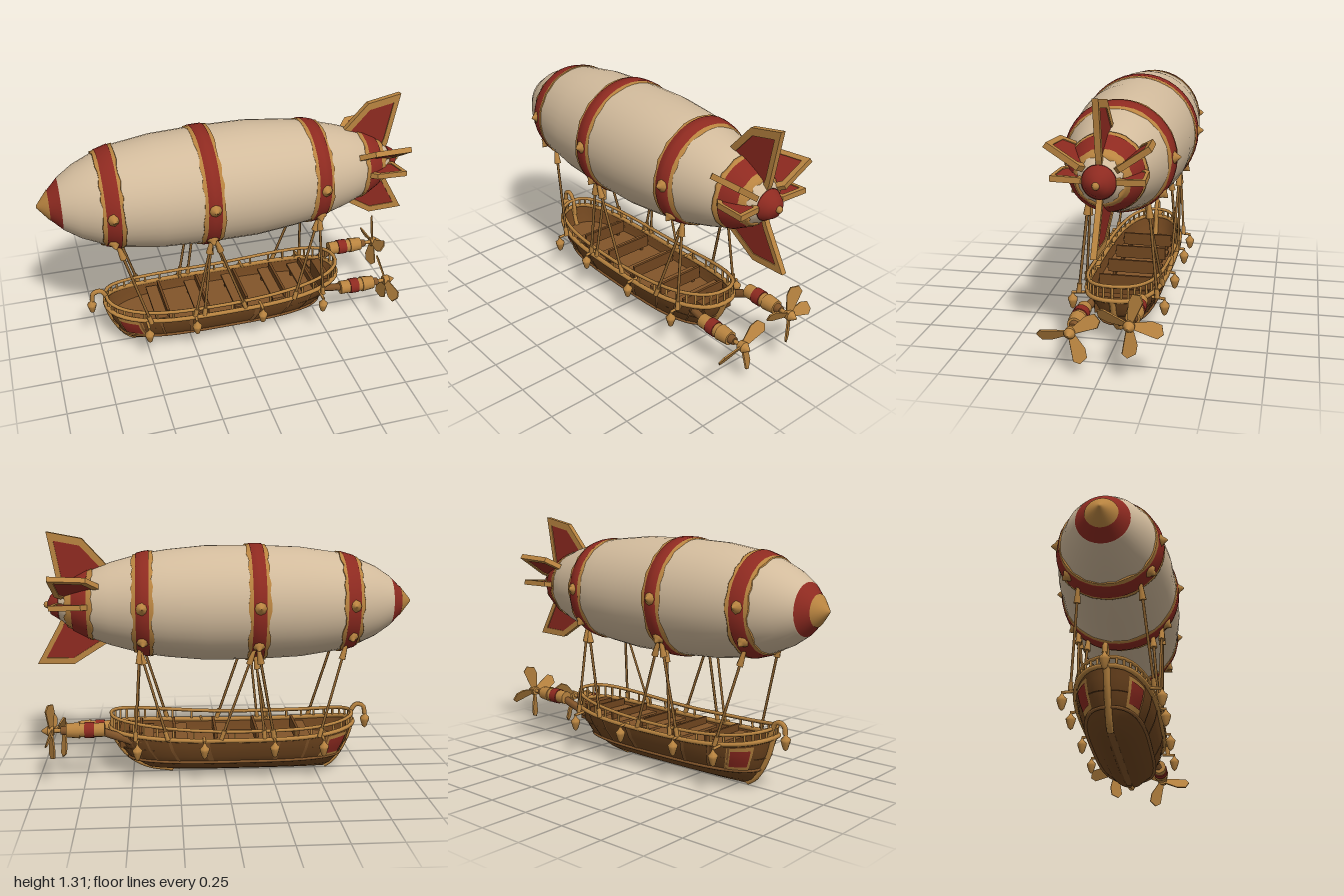
import * as THREE from 'three';

const mat = (name, color, side = THREE.FrontSide) => {
  const m = new THREE.MeshStandardMaterial({ color, side });
  m.name = name;
  return m;
};
const V = (x, y, z) => new THREE.Vector3(x, y, z);

export function createModel() {
  const cream = mat('canvas cream', 0xd2bb9c);
  const red = mat('deep red', 0x8e2a20, THREE.DoubleSide);
  const gold = mat('brass', 0xb98440, THREE.DoubleSide);
  const wood = mat('hull wood', 0x70461f, THREE.DoubleSide);
  const deckWood = mat('deck wood', 0x82552a, THREE.DoubleSide);
  const rope = mat('rope brown', 0x8f6430);
  const root = new THREE.Group();

  const add = (name, geo, m, parent = root, pos) => {
    const mesh = new THREE.Mesh(geo, m);
    mesh.name = name;
    if (pos) mesh.position.set(...pos);
    parent.add(mesh);
    return mesh;
  };
  // rod between two points
  const rod = (name, a, b, r, m, r2 = r) => {
    const d = b.clone().sub(a);
    const mesh = add(name, new THREE.CylinderGeometry(r2, r, d.length(), 6), m);
    mesh.position.copy(a).addScaledVector(d, 0.5);
    mesh.quaternion.setFromUnitVectors(V(0, 1, 0), d.normalize());
    return mesh;
  };
  const tube = (name, pts, r, m, closed = false) =>
    add(name, new THREE.TubeGeometry(new THREE.CatmullRomCurve3(pts, closed), closed ? 72 : 16, r, 6, closed), m);

  // ---- Balloon ----
  const CY = 0.92;
  const prof = [[-1, 0.003], [-0.94, 0.075], [-0.88, 0.135], [-0.8, 0.188], [-0.7, 0.232], [-0.6, 0.262],
    [-0.4, 0.292], [-0.16, 0.303], [0.1, 0.303], [0.3, 0.284], [0.43, 0.265], [0.6, 0.218], [0.7, 0.18],
    [0.82, 0.115], [0.87, 0.07], [0.91, 0.045], [0.93, 0.003]];
  const radius = x => {
    let i = 0;
    while (i < prof.length - 2 && prof[i + 1][0] < x) i++;
    const [x0, r0] = prof[i], [x1, r1] = prof[i + 1];
    return r0 + (r1 - r0) * (x - x0) / (x1 - x0);
  };
  const shell = (name, x0, x1, m, lift = 0, rag = 0) => {
    const xs = [x0, ...prof.map(p => p[0]).filter(x => x > x0 + 0.001 && x < x1 - 0.001), x1];
    const pts = xs.map(x => new THREE.Vector2(radius(x) + lift, x));
    if (lift) { // close the edges of raised bands
      pts.unshift(new THREE.Vector2(radius(x0) - 0.005, x0));
      pts.push(new THREE.Vector2(radius(x1) - 0.005, x1));
    }
    const g = new THREE.LatheGeometry(pts, 40);
    if (rag) { // uneven hand-cut edges
      const p = g.attributes.position, mid = (x0 + x1) / 2;
      for (let i = 0; i < p.count; i++) {
        const k = Math.floor(i / pts.length) % 40;
        p.setY(i, p.getY(i) + Math.sign(p.getY(i) - mid) * rag * Math.sin(k * k * 1.7));
      }
    }
    g.rotateZ(-Math.PI / 2);
    return add(name, g, m, root, [0, CY, 0]);
  };
  shell('noseCap', -1, -0.94, gold, 0.004);
  shell('noseRing', -0.94, -0.885, red);
  shell('envelope', -0.885, 0.87, cream);
  shell('tailCap', 0.865, 0.93, red, 0.006);
  shell('tailTrim', 0.69, 0.83, gold, 0.006, 0.006);
  shell('tailRing', 0.715, 0.795, red, 0.01);
  add('tailKnob', new THREE.SphereGeometry(0.018, 8, 6), gold, root, [0.93, CY, 0]);

  // onion-shaped stud, pointing along +y
  const studGeo = new THREE.LatheGeometry([[0.03, -0.01], [0.033, 0.008], [0.018, 0.018], [0.014, 0.026], [0.001, 0.04]]
    .map(p => new THREE.Vector2(...p)), 8);
  for (const x of [-0.65, -0.16, 0.43]) {
    shell('bandTrim', x - 0.052, x + 0.052, gold, 0.006, 0.006);
    shell('band', x - 0.034, x + 0.034, red, 0.01);
    for (const s of [-1, 1]) for (const a of [0.06, -0.66]) {
      const d = V(0, Math.sin(a), s * Math.cos(a));
      const stud = add('bandStud', studGeo, gold);
      stud.position.copy(d).multiplyScalar(radius(x)).add(V(x, CY, 0));
      stud.quaternion.setFromUnitVectors(V(0, 1, 0), d);
    }
  }

  // ---- Tail fins: brass frame around a red panel ----
  const fin = (name, pts, angle) => {
    const g = new THREE.Group();
    g.name = name;
    const cx = pts.reduce((s, p) => s + p[0], 0) / pts.length, cy = pts.reduce((s, p) => s + p[1], 0) / pts.length;
    const inner = pts.map(([x, y]) => new THREE.Vector2(cx + (x - cx) * 0.74, cy + (y - cy) * 0.74));
    const frame = new THREE.Shape(pts.map(p => new THREE.Vector2(...p)));
    frame.holes.push(new THREE.Path(inner));
    const slab = (s, d) => new THREE.ExtrudeGeometry(s, { depth: d, bevelEnabled: false }).translate(0, 0, -d / 2);
    add('finFrame', slab(frame, 0.028), gold, g);
    add('finPanel', slab(new THREE.Shape(inner), 0.018), red, g);
    g.position.y = CY;
    g.rotation.x = angle;
    root.add(g);
  };
  fin('topFin', [[0.6, 0.19], [0.74, 0.345], [0.92, 0.38], [0.87, 0.1], [0.85, 0.05], [0.72, 0.15]], 0);
  fin('bottomFin', [[0.61, 0.2], [0.8, 0.32], [0.99, 0.315], [0.87, 0.1], [0.85, 0.05], [0.72, 0.15]], Math.PI);
  for (const s of [-1, 1]) {
    fin('diagonalFin', [[0.64, 0.19], [0.71, 0.27], [0.9, 0.287], [0.88, 0.11], [0.84, 0.08], [0.72, 0.15]], s * 0.95);
    fin('sideFin', [[0.7, 0.17], [0.74, 0.205], [0.9, 0.215], [0.88, 0.08], [0.84, 0.07]], s * 1.5);
  }

  // ---- Hull, lofted through horizontal outlines: y, bow x, stern x, half width ----
  const layers = [[0, -0.55, 0.28, 0.025], [0.025, -0.59, 0.42, 0.085], [0.08, -0.635, 0.52, 0.145],
    [0.15, -0.675, 0.58, 0.178], [0.215, -0.7, 0.615, 0.195]];
  const sgnPow = (v, e) => Math.sign(v) * Math.abs(v) ** e;
  const sheer = x => 0.035 * Math.max(0, x / 0.6) ** 2 + 0.045 * Math.max(0, -x / 0.7) ** 4;
  const hullAt = (a, t, off = 0) => {
    const f = t * 4, i = Math.min(3, Math.floor(f)), k = f - i;
    const [y, x0, x1, w] = layers[i].map((v, j) => v + (layers[i + 1][j] - v) * k);
    const x = (x0 + x1) / 2 + ((x1 - x0) / 2 + off) * sgnPow(Math.cos(a), 0.6);
    return V(x, y + sheer(x) * t * t, (w + off) * sgnPow(Math.sin(a), 0.8));
  };
  const patch = (name, a0, a1, t0, t1, na, nt, m, off = 0) => {
    const pos = [], idx = [];
    for (let j = 0; j <= nt; j++) for (let i = 0; i <= na; i++)
      pos.push(...hullAt(a0 + (a1 - a0) * i / na, t0 + (t1 - t0) * j / nt, off).toArray());
    for (let j = 0; j < nt; j++) for (let i = 0; i < na; i++) {
      const p = j * (na + 1) + i, q = p + na + 1;
      idx.push(p, q, p + 1, p + 1, q, q + 1);
    }
    const g = new THREE.BufferGeometry();
    g.setAttribute('position', new THREE.Float32BufferAttribute(pos, 3));
    g.setIndex(idx);
    g.computeVertexNormals();
    return add(name, g, m);
  };
  const TAU = Math.PI * 2;
  const loop = (t, off, dy = 0, n = 48) =>
    Array.from({ length: n }, (_, i) => hullAt(i / n * TAU, t, off).add(V(0, dy, 0)));
  patch('hull', 0, TAU, 0, 1, 56, 8, wood);
  const flat = (t, y) => new THREE.ShapeGeometry(new THREE.Shape(loop(t, 0)
    .map(p => new THREE.Vector2(p.x, -p.z)))).rotateX(-Math.PI / 2).translate(0, y, 0);
  add('deck', flat(0.75, 0.155), deckWood);
  add('hullBottom', flat(0, 0.001), wood);
  tube('gunwale', loop(1, 0.004), 0.013, gold, true);
  tube('lowerWale', loop(0.5, 0.002), 0.009, deckWood, true);
  add('keel', new THREE.BoxGeometry(0.84, 0.02, 0.03), deckWood, root, [-0.13, 0.01, 0]);
  for (const a of [0, Math.PI])
    tube('endPost', [0, 0.25, 0.5, 0.75, 1].map(t => hullAt(a, t, 0.003)), 0.016, gold);

  // ribs and red bow panels
  for (const s of [-1, 1]) {
    for (let d = 25; d <= 130; d += 15) {
      const a = s * d * Math.PI / 180;
      patch('hullRib', a - 0.015, a + 0.015, 0.53, 0.97, 1, 4, deckWood, 0.005);
    }
    patch('bowPanelTrim', s * 2.24, s * 2.7, 0.52, 0.93, 8, 4, gold, 0.005);
    patch('bowPanel', s * 2.3, s * 2.64, 0.58, 0.87, 8, 4, red, 0.009);
  }

  // ---- Railing, rising towards the stern ----
  const railAt = a => {
    const p = hullAt(a, 1, -0.002);
    return p.add(V(0, 0.048 + 0.025 * Math.max(0, p.x / 0.6), 0));
  };
  tube('handrail', Array.from({ length: 48 }, (_, i) => railAt(i / 48 * TAU)), 0.01, gold, true);
  for (let i = 0; i < 40; i++) {
    const a = i / 40 * TAU;
    rod('railPost', hullAt(a, 1), railAt(a), 0.0065, gold);
  }

  // ---- Benches and deck boxes ----
  for (const x of [-0.42, -0.2, 0.02, 0.24, 0.42]) {
    add('bench', new THREE.BoxGeometry(0.07, 0.014, 0.3), deckWood, root, [x, 0.205, 0]);
    add('benchBack', new THREE.BoxGeometry(0.014, 0.07, 0.28), wood, root, [x + 0.035, 0.215, 0]);
    for (const s of [-1, 1]) add('benchLeg', new THREE.BoxGeometry(0.05, 0.05, 0.016), wood, root, [x, 0.178, s * 0.11]);
  }
  add('sternBox', new THREE.BoxGeometry(0.05, 0.09, 0.2), wood, root, [0.54, 0.205, 0]);

  // ---- Rigging ----
  const rig = [[-0.63, 0.15, -0.49], [-0.16, 0.22, -0.25], [-0.14, 0.22, 0.03], [-0.15, 0.17, -0.2],
    [0.45, 0.14, 0.31], [0.45, 0.15, 0.48]];
  for (const s of [-1, 1]) for (const [x0, z, x1] of rig) {
    const top = V(x0, CY - Math.sqrt(Math.max(0, radius(x0) ** 2 - z * z)), s * z);
    const bottom = V(x1, 0.225, s * 0.2);
    const dir = bottom.clone().sub(top);
    rod('rope', top, bottom, 0.0075, rope);
    rod('ropeSocket', top, top.clone().addScaledVector(dir, 0.16), 0.01, gold, 0.019);
    rod('ropeCleat', bottom.clone().addScaledVector(dir, -0.1), bottom, 0.013, gold);
  }

  // ---- Lanterns ----
  const lampGeo = new THREE.LatheGeometry([[0.002, -0.05], [0.013, -0.04], [0.024, -0.005], [0.026, 0.008], [0.012, 0.022], [0.003, 0.04]]
    .map(p => new THREE.Vector2(...p)), 8);
  for (const s of [-1, 1]) for (const x of [-0.51, -0.25, 0.12, 0.47]) {
    add('lantern', lampGeo, gold, root, [x, 0.18, s * 0.235]);
    rod('lanternArm', V(x, 0.225, s * 0.17), V(x, 0.22, s * 0.238), 0.008, gold);
  }
  tube('bowHook', [V(-0.68, 0.22, 0), V(-0.695, 0.3, 0), V(-0.725, 0.345, 0), V(-0.765, 0.335, 0), V(-0.775, 0.29, 0)], 0.013, gold);
  add('bowLantern', lampGeo, gold, root, [-0.777, 0.26, 0]);

  // ---- Engines with propellers ----
  const blade = new THREE.Shape();
  blade.moveTo(-0.012, 0);
  blade.lineTo(-0.038, 0.1);
  blade.lineTo(-0.03, 0.145);
  blade.lineTo(0.012, 0.16);
  blade.lineTo(0.036, 0.135);
  blade.lineTo(0.012, 0);
  const bladeGeo = new THREE.ExtrudeGeometry(blade, { depth: 0.008, bevelEnabled: false })
    .translate(0, 0, -0.004).rotateY(Math.PI / 2 - 0.5);
  const engine = (name, x, y, z, angles) => {
    const g = new THREE.Group();
    g.name = name;
    g.position.set(x, y, z);
    const drum = (n, x0, x1, r0, r1, m) => add(n, new THREE.CylinderGeometry(r1, r0, x1 - x0, 14)
      .rotateZ(-Math.PI / 2), m, g, [(x0 + x1) / 2, 0, 0]);
    drum('engineBody', 0, 0.13, 0.037, 0.037, gold);
    drum('engineStripe', 0.055, 0.105, 0.042, 0.042, red);
    drum('engineCollar', 0.13, 0.2, 0.043, 0.036, gold);
    drum('engineNeck', 0.2, 0.23, 0.025, 0.02, deckWood);
    drum('shaft', 0.23, 0.28, 0.011, 0.011, gold);
    drum('propellerHub', 0.265, 0.295, 0.025, 0.028, gold);
    drum('hubCone', 0.295, 0.33, 0.028, 0.004, gold);
    for (const d of angles) add('blade', bladeGeo, gold, g, [0.28, 0, 0]).rotation.x = d * Math.PI / 180;
    root.add(g);
    rod('engineStrut', V(0.5, 0.2, z * 0.8), V(x + 0.04, y, z), 0.022, deckWood);
  };
  // blade angles run from up (0) towards +z (90)
  engine('leftEngine', 0.605, 0.2, 0.14, [100, -60, 200]);
  engine('rightEngine', 0.64, 0.275, -0.145, [-15, -97, 70, 180]);

  return root;
}
